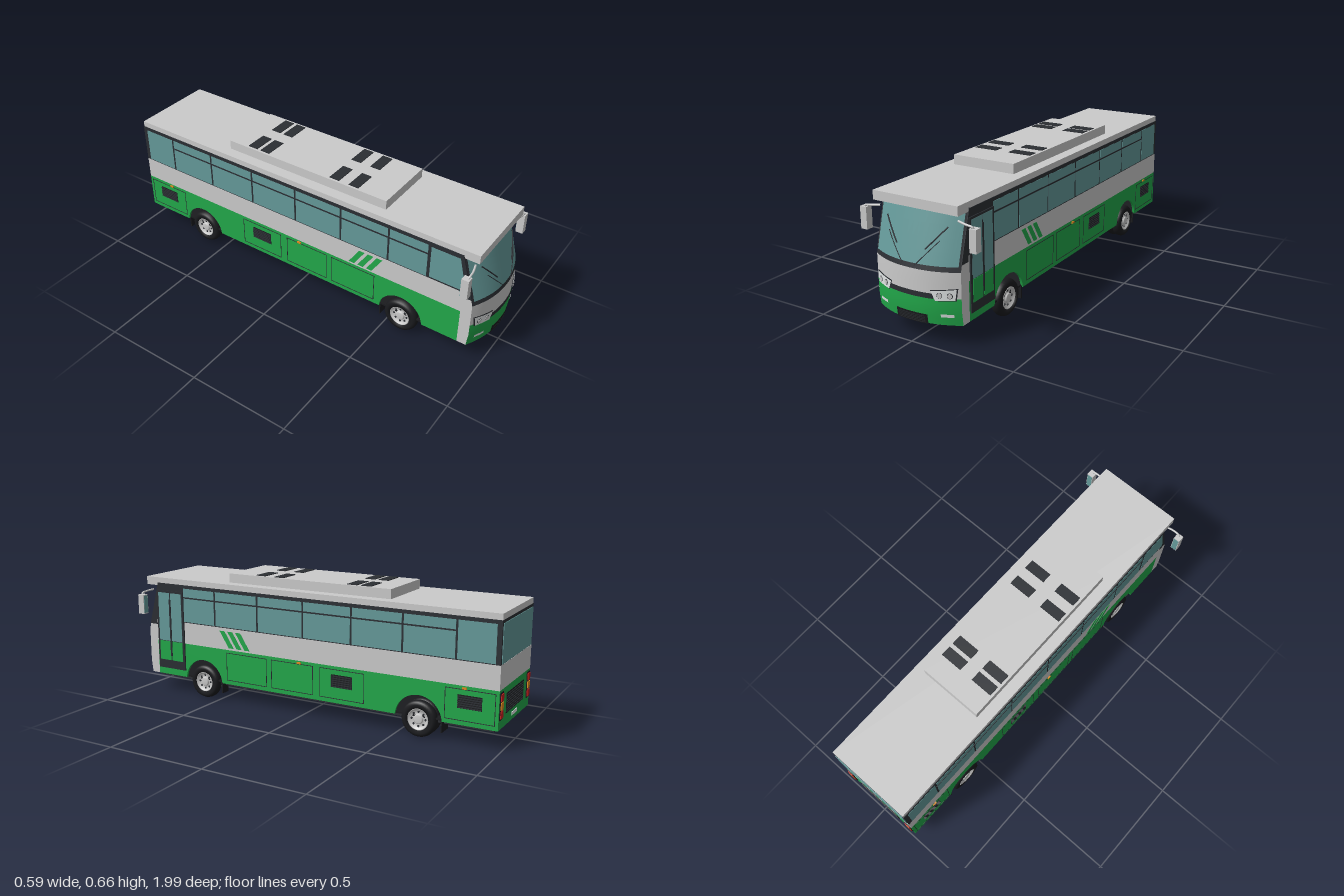
import * as THREE from 'three';

const mat = (color, side = THREE.FrontSide) => new THREE.MeshStandardMaterial({ color, side });
const GREY = mat(0xcccccc), GREEN = mat(0x22a84a), DARK = mat(0x2b2e33), BLACK = mat(0x1a1b1e);
const GLASS = mat(0x659a9a), RED = mat(0xc62020), ORANGE = mat(0xe08a20), LAMP = mat(0xe2e6e6);
const noseMats = new Map();

const W = 0.217;      // half width of the body
const BACK = -0.985;  // rear face
const WHEELS = [0.587, -0.614];

// Curved, raked front surface: z for a given x and y
function noseZ(x, y) {
  const rake = Math.max(0, y - 0.33) / 0.235;
  const corner = 0.938 - 0.063 * rake - 0.008 * Math.max(0, (0.16 - y) / 0.065);
  return corner + 0.058 * (1 - Math.min(1, Math.abs(x) / W) ** 2.2);
}

export function createModel() {
  const bus = new THREE.Group();

  function add(name, geometry, material, parent = bus) {
    const mesh = new THREE.Mesh(geometry, material);
    mesh.name = name;
    parent.add(mesh);
    return mesh;
  }
  // Box given by its limits on each axis
  function box(name, m, x0, x1, y0, y1, z0, z1, parent = bus) {
    const mesh = add(name, new THREE.BoxGeometry(Math.abs(x1 - x0), y1 - y0, z1 - z0), m, parent);
    mesh.position.set((x0 + x1) / 2, (y0 + y1) / 2, (z0 + z1) / 2);
    return mesh;
  }
  // Four-cornered patch (bl, br, tr, tl) laid on the front surface
  function nose(name, m, [bl, br, tr, tl], off = 0, nx = 16, ny = 4) {
    const g = new THREE.PlaneGeometry(1, 1, nx, ny), p = g.attributes.position;
    for (let i = 0; i < p.count; i++) {
      const u = p.getX(i) + 0.5, v = p.getY(i) + 0.5;
      const mix = k => (bl[k] * (1 - u) + br[k] * u) * (1 - v) + (tl[k] * (1 - u) + tr[k] * u) * v;
      const x = mix(0), y = mix(1);
      p.setXYZ(i, x, y, noseZ(x, y) + off);
    }
    g.computeVertexNormals();
    if (!noseMats.has(m)) noseMats.set(m, mat(m.color, THREE.DoubleSide));
    return add(name, g, noseMats.get(m));
  }
  const noseRect = (name, m, x0, x1, y0, y1, off) =>
    nose(name, m, [[x0, y0], [x1, y0], [x1, y1], [x0, y1]], off);
  // Panel drawn in (z, y) and extruded inwards from a side of the body
  function sidePanel(name, m, shape, s, outer = W, depth = 0.012) {
    if (Array.isArray(shape)) shape = new THREE.Shape(shape.map(p => new THREE.Vector2(...p)));
    const g = new THREE.ExtrudeGeometry(shape, { depth, bevelEnabled: false, curveSegments: 24 });
    g.rotateY(-Math.PI / 2).translate(s > 0 ? outer : depth - outer, 0, 0);
    return add(name, g, m);
  }
  // Box fixed on a side wall, standing out by t
  const sideBox = (name, m, s, z0, z1, y0, y1, t = 0.002) =>
    box(name, m, s * (W - 0.004), s * (W + t), y0, y1, z0, z1);

  // Underfloor with curved front end, rails and cross members
  const floor = new THREE.Shape();
  floor.moveTo(-W + 0.01, BACK);
  floor.lineTo(W - 0.01, BACK);
  for (let i = 0; i <= 16; i++) {
    const x = (W - 0.01) * (1 - i / 8);
    floor.lineTo(x, noseZ(x, 0.095) - 0.003);
  }
  add('floor', new THREE.ExtrudeGeometry(floor, { depth: 0.008, bevelEnabled: false })
    .rotateX(Math.PI / 2).translate(0, 0.104, 0), BLACK);
  for (const s of [-1, 1]) {
    box('chassisRail', DARK, s * 0.07, s * 0.085, 0.075, 0.097, -0.94, 0.9);
    box('skirtRail', DARK, s * 0.17, s * 0.185, 0.077, 0.097, -0.96, 0.9);
    box('towBracket', DARK, s * 0.103, s * 0.13, 0.07, 0.096, 0.88, 0.92);
  }
  box('frontCrossMember', DARK, -0.183, 0.183, 0.077, 0.097, 0.88, 0.9);
  box('rearCrossMember', DARK, -0.183, 0.183, 0.077, 0.097, -0.96, -0.94);

  // Side walls
  for (const s of [-1, 1]) {
    const lower = new THREE.Shape(), r = 0.115, a = Math.asin(0.009 / r);
    lower.moveTo(BACK, 0.095);
    for (const z of [...WHEELS].reverse()) {
      lower.lineTo(z - r * Math.cos(a), 0.095);
      lower.absarc(z, 0.086, r, Math.PI - a, a, true);
    }
    lower.lineTo(0.885, 0.095);
    lower.lineTo(0.885, 0.275);
    lower.lineTo(BACK, 0.275);
    sidePanel('lowerSide', GREEN, lower, s);
    sidePanel('sideBand', GREY, [[BACK, 0.275], [0.885, 0.275], [0.885, 0.387], [BACK, 0.387]], s);
    sidePanel('frontCorner', GREY, [[0.885, 0.095], [0.93, 0.095], [0.938, 0.16], [0.938, 0.33],
      [0.93, 0.36], [0.885, 0.36]], s);
    sidePanel('windowFrame', DARK, [[BACK, 0.387], [0.885, 0.387], [0.885, 0.36], [0.932, 0.36],
      [0.872, 0.582], [BACK, 0.582]], s, W + 0.001);

    // Windows with upper slider bars
    const cuts = [0.71, 0.507, 0.25, -0.01, -0.27, -0.53, -0.785, -0.968];
    for (let i = 0; i < 7; i++) {
      sideBox('sideWindow', GLASS, s, cuts[i + 1] + 0.005, cuts[i] - 0.005, 0.391, 0.565);
      if (i < 6) sideBox('windowBar', DARK, s, cuts[i + 1], cuts[i], 0.514, 0.521, 0.004);
    }
    if (s < 0) sidePanel('driverWindow', GLASS, [[0.72, 0.395], [0.9, 0.395], [0.86, 0.56], [0.72, 0.56]], s, W + 0.002, 0.006);

    // Slanted stripes
    for (let i = 0; i < 3; i++) {
      const z = 0.48 - i * 0.048;
      sidePanel('stripe', GREEN, [[z - 0.085, 0.285], [z - 0.055, 0.285], [z, 0.37], [z - 0.03, 0.37]], s, W + 0.0015, 0.003);
    }
    // Luggage hatches with thin outlines, some with vents
    for (const [z0, z1, vent] of [[0.2, 0.44], [-0.065, 0.17], [-0.34, -0.105, 1], [-0.97, -0.74, 1]]) {
      for (const y of [0.115, 0.257]) sideBox('hatchSeam', DARK, s, z0, z1, y, y + 0.003, 0.001);
      for (const z of [z0, z1]) sideBox('hatchSeam', DARK, s, z - 0.0015, z + 0.0015, 0.115, 0.26, 0.001);
      if (!vent) continue;
      const c = (z0 + z1) / 2;
      sideBox('sideVent', BLACK, s, c - 0.056, c + 0.056, 0.172, 0.234, 0.001);
      for (let k = 0; k < 6; k++) sideBox('ventSlat', DARK, s, c - 0.056, c + 0.056, 0.174 + k * 0.01, 0.179 + k * 0.01, 0.004);
    }
    for (const z of [0.01, -0.83]) sideBox('sideMarker', ORANGE, s, z - 0.01, z + 0.01, 0.26, 0.269, 0.006);
  }

  // Entrance door on the left side
  sideBox('doorFrame', DARK, 1, 0.705, 0.878, 0.13, 0.545, 0.006);
  for (const [z0, z1] of [[0.718, 0.787], [0.794, 0.866]]) {
    sideBox('doorGlass', GLASS, 1, z0, z1, 0.28, 0.534, 0.008);
    sideBox('doorPanel', GREEN, 1, z0, z1, 0.175, 0.277, 0.008);
  }
  sideBox('doorHandle', DARK, 1, 0.785, 0.796, 0.2, 0.5, 0.01);

  // Front face
  noseRect('lowerFront', GREEN, -W, W, 0.095, 0.216, 0);
  noseRect('frontPanel', GREY, -W, W, 0.216, 0.332, 0);
  noseRect('windscreenSurround', DARK, -W, W, 0.33, 0.585, 0);
  noseRect('windscreen', GLASS, -0.208, 0.208, 0.352, 0.572, 0.003);
  noseRect('frontTrim', DARK, -0.11, 0.11, 0.212, 0.235, 0.004);
  noseRect('frontGrille', BLACK, -0.08, 0.08, 0.093, 0.137, 0.003);
  for (let i = 0; i < 5; i++) noseRect('grilleSlat', DARK, -0.068, 0.068, 0.098 + i * 0.007, 0.101 + i * 0.007, 0.005);
  const flip = (pts, s) => s > 0 ? pts : [1, 0, 3, 2].map(i => [-pts[i][0], pts[i][1]]);
  for (const s of [-1, 1]) {
    nose('headlightRim', DARK, flip([[0.116, 0.203], [0.201, 0.208], [0.208, 0.262], [0.098, 0.249]], s), 0.003);
    nose('headlight', LAMP, flip([[0.119, 0.206], [0.198, 0.211], [0.204, 0.259], [0.102, 0.246]], s), 0.006);
    for (const x of [0.138, 0.178]) {
      const z = noseZ(x, 0.23) + 0.006;
      const ring = add('lampRing', new THREE.TorusGeometry(0.011, 0.0015, 6, 24), DARK);
      ring.position.set(s * x, 0.23, z);
      const lens = add('lampLens', new THREE.CylinderGeometry(0.01, 0.011, 0.006, 24).rotateX(Math.PI / 2), GREY);
      lens.position.copy(ring.position);
      lens.rotation.y = ring.rotation.y = s * 0.4;
    }
    nose('fogLight', LAMP, flip([[0.138, 0.133], [0.19, 0.133], [0.19, 0.147], [0.138, 0.147]], s), 0.004);
    // Wiper blade and arm follow the windscreen
    for (const [name, x0, y0, x1, y1, r] of [['wiperBlade', 0.155, 0.51, 0.072, 0.415, 0.003], ['wiperArm', 0.13, 0.455, 0.03, 0.345, 0.0018]]) {
      const pts = [0, 0.25, 0.5, 0.75, 1].map(t => {
        const x = x0 + (x1 - x0) * t, y = y0 + (y1 - y0) * t;
        return new THREE.Vector3(s * x, y, noseZ(x, y) + 0.008);
      });
      add(name, new THREE.TubeGeometry(new THREE.CatmullRomCurve3(pts), 12, r, 6), DARK);
    }
    // Mirror on a bent arm
    const arm = new THREE.CatmullRomCurve3([[0.198, 0.54, 0.92], [0.24, 0.536, 0.93], [0.272, 0.53, 0.93], [0.278, 0.515, 0.925]]
      .map(([x, y, z]) => new THREE.Vector3(s * x, y, z)));
    add('mirrorArm', new THREE.TubeGeometry(arm, 16, 0.005, 8), GREY);
    box('mirrorHead', GREY, s * 0.262, s * 0.295, 0.425, 0.525, 0.905, 0.94);
    box('mirrorGlass', GLASS, s * 0.265, s * 0.292, 0.43, 0.52, 0.903, 0.906);
  }

  // Rear face
  const rear = (name, m, x0, x1, y0, y1, t) => box(name, m, x0, x1, y0, y1, BACK - t, BACK + 0.012);
  rear('lowerRear', GREEN, -W, W, 0.095, 0.275, 0.001);
  rear('rearBand', GREY, -W, W, 0.275, 0.387, 0.001);
  rear('rearWindowFrame', DARK, -W, W, 0.387, 0.582, 0);
  rear('rearWindow', GLASS, -0.207, 0.207, 0.39, 0.568, 0.003);
  rear('engineGrille', BLACK, -0.12, 0.12, 0.15, 0.243, 0.003);
  for (let i = 0; i < 8; i++) rear('engineSlat', DARK, -0.115, 0.115, 0.155 + i * 0.011, 0.16 + i * 0.011, 0.006);
  rear('rearPlate', LAMP, -0.036, 0.036, 0.116, 0.132, 0.004);
  for (const s of [-1, 1]) {
    rear('tailLightHousing', BLACK, s * 0.168, s * 0.21, 0.14, 0.265, 0.004);
    [RED, ORANGE, RED].forEach((m, i) =>
      rear('tailLight', m, s * 0.174, s * 0.204, 0.147 + i * 0.039, 0.18 + i * 0.039, 0.008));
  }

  // Roof, roof unit and its vents
  box('roof', GREY, -0.215, 0.215, 0.568, 0.61, -0.984, 0.945);
  box('roofUnit', GREY, -0.16, 0.16, 0.61, 0.656, -0.443, 0.452);
  for (const s of [-1, 1]) for (const z of [-0.31, -0.238, 0.165, 0.27])
    box('roofVent', DARK, s * 0.035, s * 0.148, 0.65, 0.659, z - 0.026, z + 0.026);

  // Wheels: lathed tyre and rim around the x axis
  const lathe = pts => new THREE.LatheGeometry(pts.map(p => new THREE.Vector2(...p)), 36).rotateZ(-Math.PI / 2);
  const tyre = lathe([[0.05, -0.022], [0.068, -0.024], [0.079, -0.021], [0.085, -0.01], [0.086, 0],
    [0.085, 0.01], [0.079, 0.021], [0.068, 0.024], [0.05, 0.022], [0.05, -0.022]]);
  const rim = lathe([[0, -0.012], [0.05, -0.018], [0.052, 0.022], [0.047, 0.023], [0.042, 0.014],
    [0.024, 0.01], [0.022, 0.019], [0.018, 0.022], [0, 0.022]]);
  WHEELS.forEach((z, rearAxle) => {
    const axle = add('axle', new THREE.CylinderGeometry(0.014, 0.014, 0.36, 12).rotateZ(Math.PI / 2), DARK);
    axle.position.set(0, 0.086, z);
    for (const s of [-1, 1]) {
      const wheel = new THREE.Group();
      wheel.name = rearAxle ? 'rearWheel' : 'frontWheel';
      wheel.position.set(s * 0.195, 0.086, z);
      if (s < 0) wheel.rotation.y = Math.PI;
      add('tyre', tyre, BLACK, wheel);
      if (rearAxle) add('innerTyre', tyre, BLACK, wheel).position.x = -0.043;
      add('rim', rim, GREY, wheel);
      for (let i = 0; i < 8; i++) {
        const a = i * Math.PI / 4;
        add('rimHole', new THREE.CylinderGeometry(0.005, 0.005, 0.006, 10).rotateZ(Math.PI / 2), DARK, wheel)
          .position.set(0.012, 0.034 * Math.sin(a), 0.034 * Math.cos(a));
      }
      bus.add(wheel);
      box('mudFlap', BLACK, s * (rearAxle ? 0.135 : 0.165), s * 0.212, 0.04, 0.1, z - 0.114, z - 0.108);
    }
  });
  if (WHEELS[1]) {
    const diff = add('differential', new THREE.SphereGeometry(0.035, 20, 14), DARK);
    diff.position.set(0, 0.086, WHEELS[1]);
  }
  return bus;
}
